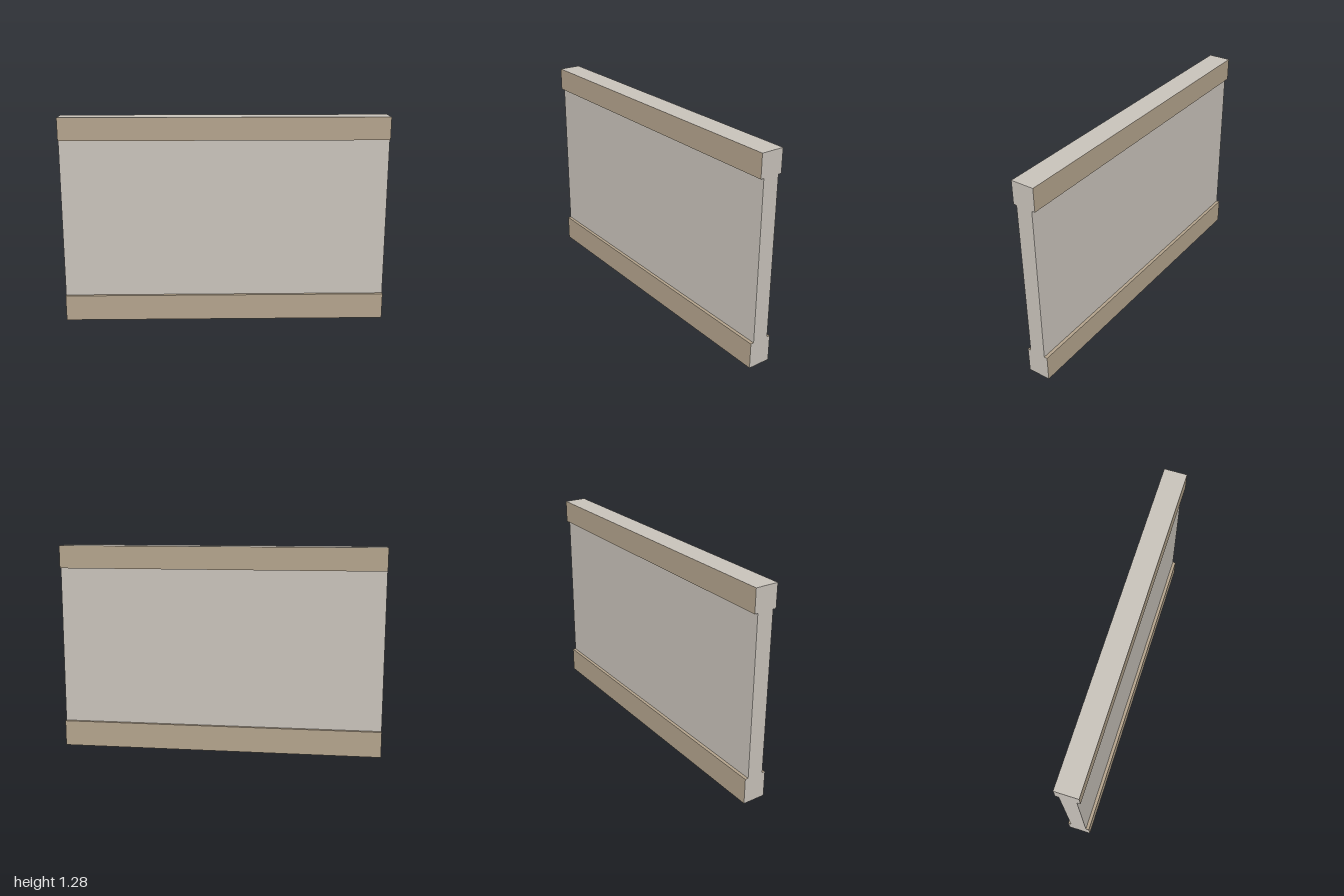
import * as THREE from 'three';

export function createModel() {
  const model = new THREE.Group();
  const plaster = new THREE.MeshStandardMaterial({ color: 0xc8c2ba });
  plaster.name = 'plaster grey';
  const wood = new THREE.MeshStandardMaterial({ color: 0xb3a38c });
  wood.name = 'trim tan';

  const length = 2, height = 1.28, halfCore = 0.05, trimDepth = 0.02;

  function addBox(name, h, d, y, z, material) {
    const mesh = new THREE.Mesh(new THREE.BoxGeometry(length, h, d), material);
    mesh.name = name;
    mesh.position.set(0, y, z);
    model.add(mesh);
  }

  // Wall slab
  addBox('wallPanel', height, halfCore * 2, height / 2, 0, plaster);

  // Trim boards on both faces: ends and outer edge match the wall, face and ledge are tan
  const baseFaces = [plaster, plaster, wood, plaster, wood, wood];
  const topFaces = [plaster, plaster, plaster, wood, wood, wood];
  for (const [side, s] of [['front', 1], ['back', -1]]) {
    const z = s * (halfCore + trimDepth / 2);
    addBox(side + 'Baseboard', 0.16, trimDepth, 0.08, z, baseFaces);
    addBox(side + 'TopTrim', 0.14, trimDepth, height - 0.07, z, topFaces);
  }
  return model;
}
